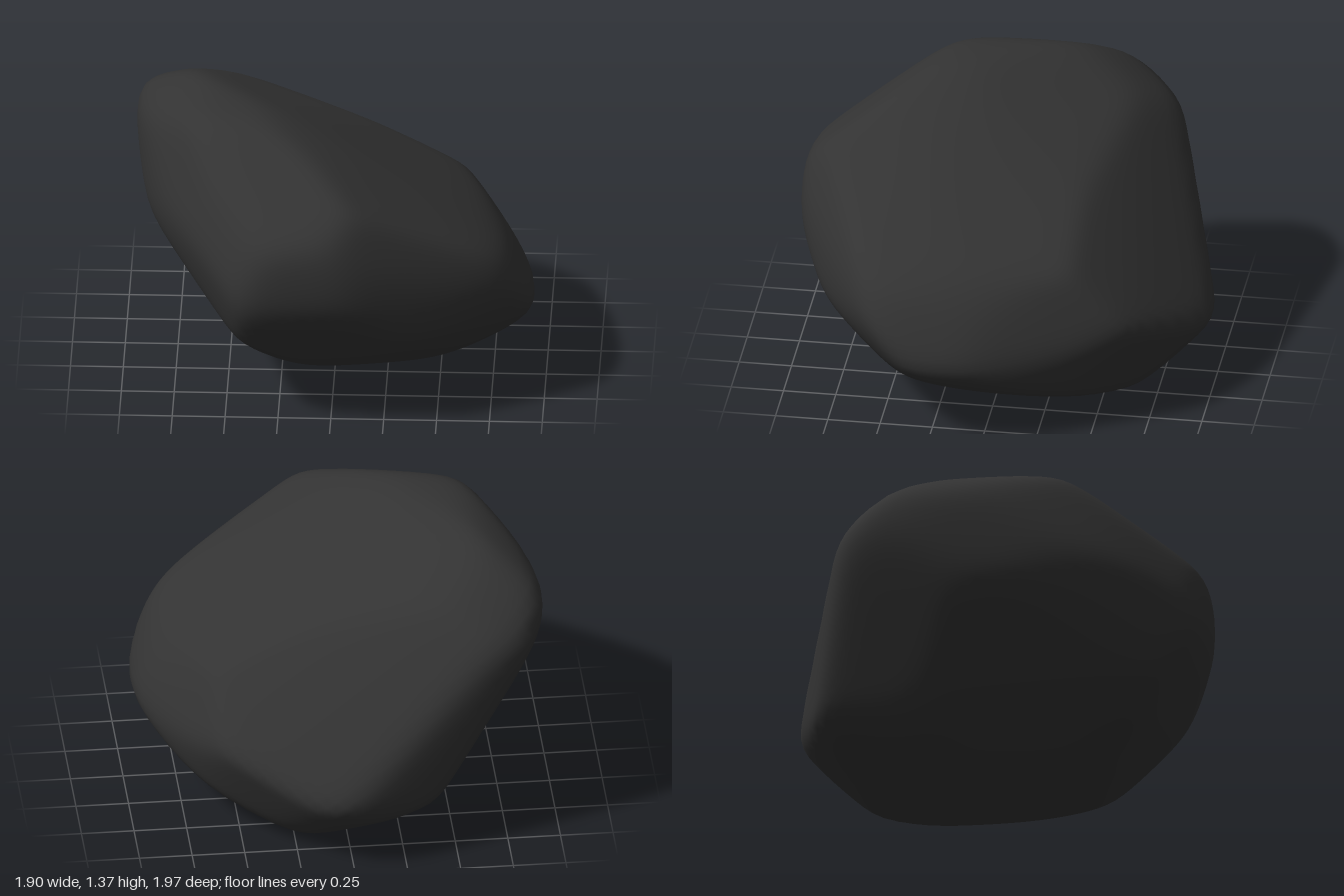
import * as THREE from 'three';
import { mergeVertices } from 'three/addons/utils/BufferGeometryUtils.js';

// The boulder is the rounded intersection of six prisms and a few cuts. Each
// prism has a clockwise outline on a plane spanned by a right and an up vector.
const MID = 0.69;      // height of the core
const ROUNDING = 32;   // higher gives sharper ridges

const frontOutline = [
  [-0.63, 1.38], [-0.34, 1.39], [0, 1.26], [0.6, 0.91], [0.83, 0.74], [0.95, 0.46], [0.955, 0.4],
  [0.81, 0.24], [0.49, 0.09], [0.2, 0.02], [-0.08, 0], [-0.32, 0.08], [-0.55, 0.22], [-0.73, 0.43],
  [-0.86, 0.65], [-0.92, 0.8], [-0.96, 1.03], [-0.95, 1.16], [-0.84, 1.27]];
const sideOutline = [
  [-0.96, 1.01], [-0.88, 1.11], [-0.57, 1.3], [-0.33, 1.385], [0.2, 1.38], [0.46, 1.29], [0.62, 1.19],
  [0.7, 1.1], [1, 0.36], [0.94, 0.26], [0.74, 0.08], [0.61, 0.02], [0.33, 0.005], [-0.3, 0.06],
  [-0.53, 0.17], [-0.74, 0.31], [-0.97, 0.64], [-1, 0.86]];
const planOutline = [
  [0, 1], [0.33, 0.91], [0.53, 0.73], [0.7, 0.49], [0.86, 0.18], [0.95, -0.12], [0.93, -0.47],
  [0.67, -0.69], [0.09, -1], [-0.05, -1], [-0.38, -0.96], [-0.5, -0.9], [-0.69, -0.6], [-0.82, -0.36],
  [-0.96, 0.24], [-0.96, 0.39], [-0.91, 0.56], [-0.826, 0.7], [-0.11, 0.97]];
const frontObliqueOutline = [
  [-0.64, 0.77], [-0.48, 0.85], [-0.31, 0.87], [-0.1, 0.8], [0.06, 0.66], [0.81, 0.06], [0.86, -0.02],
  [0.86, -0.225], [0.77, -0.52], [0.58, -0.65], [0.18, -0.74], [-0.4, -0.63], [-0.61, -0.55],
  [-0.86, -0.34], [-0.925, -0.15], [-0.92, 0.055], [-0.875, 0.26], [-0.75, 0.63]];
const backObliqueOutline = [
  [0.41, 0.73], [0.56, 0.67], [0.82, 0.52], [0.92, 0.24], [0.81, -0.1], [0.51, -0.455], [0.28, -0.66],
  [0.05, -0.75], [-0.465, -0.796], [-0.57, -0.766], [-0.68, -0.65], [-0.855, -0.3], [-0.866, -0.21],
  [-0.69, 0.17], [-0.49, 0.37], [-0.17, 0.53]];
const underObliqueOutline = [
  [0.72, 0.523], [0.92, 0.456], [1.04, 0.38], [1.08, 0.3], [1.06, 0.21], [0.7, -0.37], [0.6, -0.474],
  [-0.27, -0.7], [-0.35, -0.66], [-0.66, -0.5], [-0.8, -0.395], [-0.93, -0.25], [-1.02, -0.07],
  [-0.87, 0.18], [-0.71, 0.255], [0.04, 0.474], [0.52, 0.52]];

// A plane keeps its wanted distance from the core as reach; offset is the
// distance used before rounding
const makePlane = (normal, reach) => ({ normal: normal.normalize(), reach, offset: reach });

// Side planes of one prism
function prismPlanes(outline, right, up, drop = 0) {
  return outline.map(([x0, y0], i) => {
    const [x1, y1] = outline[(i + 1) % outline.length];
    const length = Math.hypot(x1 - x0, y1 - y0);
    const nx = (y0 - y1) / length, ny = (x1 - x0) / length;
    const normal = right.clone().multiplyScalar(nx).addScaledVector(up, ny);
    return makePlane(normal, nx * x0 + ny * (y0 - drop));
  });
}

// Prism along a slanted axis, given by compass angle and elevation in degrees
function slantedPlanes(outline, azimuth, elevation) {
  const a = THREE.MathUtils.degToRad(azimuth), e = THREE.MathUtils.degToRad(elevation);
  const right = new THREE.Vector3(Math.cos(a), 0, -Math.sin(a));
  const up = new THREE.Vector3(-Math.sin(a) * Math.sin(e), Math.cos(e), -Math.cos(a) * Math.sin(e));
  return prismPlanes(outline, right, up);
}

// Distance from the core to the softened intersection in one direction
function radius(direction, planes) {
  let sum = 0;
  for (const { normal, offset } of planes) {
    sum += Math.max(0, normal.dot(direction) / offset) ** ROUNDING;
  }
  return sum ** (-1 / ROUNDING);
}

export function createModel() {
  const X = new THREE.Vector3(1, 0, 0), Y = new THREE.Vector3(0, 1, 0), back = new THREE.Vector3(0, 0, -1);
  const planes = [
    ...prismPlanes(frontOutline, X, Y, MID),
    ...prismPlanes(sideOutline, back, Y, MID),
    ...prismPlanes(planOutline, X, back),
    ...slantedPlanes(frontObliqueOutline, 35, 25),
    ...slantedPlanes(backObliqueOutline, 215, 25),
    ...slantedPlanes(underObliqueOutline, 145, -25),
    // Sloping back, back left shoulder and front left shoulder
    makePlane(new THREE.Vector3(0.28, 0.6, -0.75), 0.58),
    makePlane(new THREE.Vector3(0.6, 0.6, -0.5), 0.67),
    makePlane(new THREE.Vector3(0.52, 0.42, 0.74), 0.87),
  ];

  let geometry = new THREE.IcosahedronGeometry(1, 22);
  geometry.deleteAttribute('normal');
  geometry.deleteAttribute('uv');
  geometry = mergeVertices(geometry, 1e-4);
  const position = geometry.attributes.position;
  const directions = Array.from({ length: position.count }, (_, i) =>
    new THREE.Vector3().fromBufferAttribute(position, i).normalize());
  const surface = () => directions.map((d) => d.clone().multiplyScalar(radius(d, planes)));

  // Move the planes until the rounded stone reaches each outline again
  for (let pass = 0; pass < 8; pass++) {
    const points = surface();
    for (const plane of planes) {
      const reached = points.reduce((most, p) => Math.max(most, p.dot(plane.normal)), 0);
      plane.offset = THREE.MathUtils.clamp(
        plane.offset * plane.reach / reached, plane.reach * 0.97, plane.reach * 1.12);
    }
  }

  // Shape the stone and set it on the ground
  surface().forEach((p, i) => position.setXYZ(i, p.x, p.y, p.z));
  geometry.computeBoundingBox();
  geometry.translate(0, -geometry.boundingBox.min.y, 0);
  geometry.computeVertexNormals();

  const boulder = new THREE.Mesh(geometry, new THREE.MeshStandardMaterial({ color: 0x333333 }));
  boulder.name = 'boulder';
  const group = new THREE.Group();
  group.name = 'rock';
  group.add(boulder);
  return group;
}
